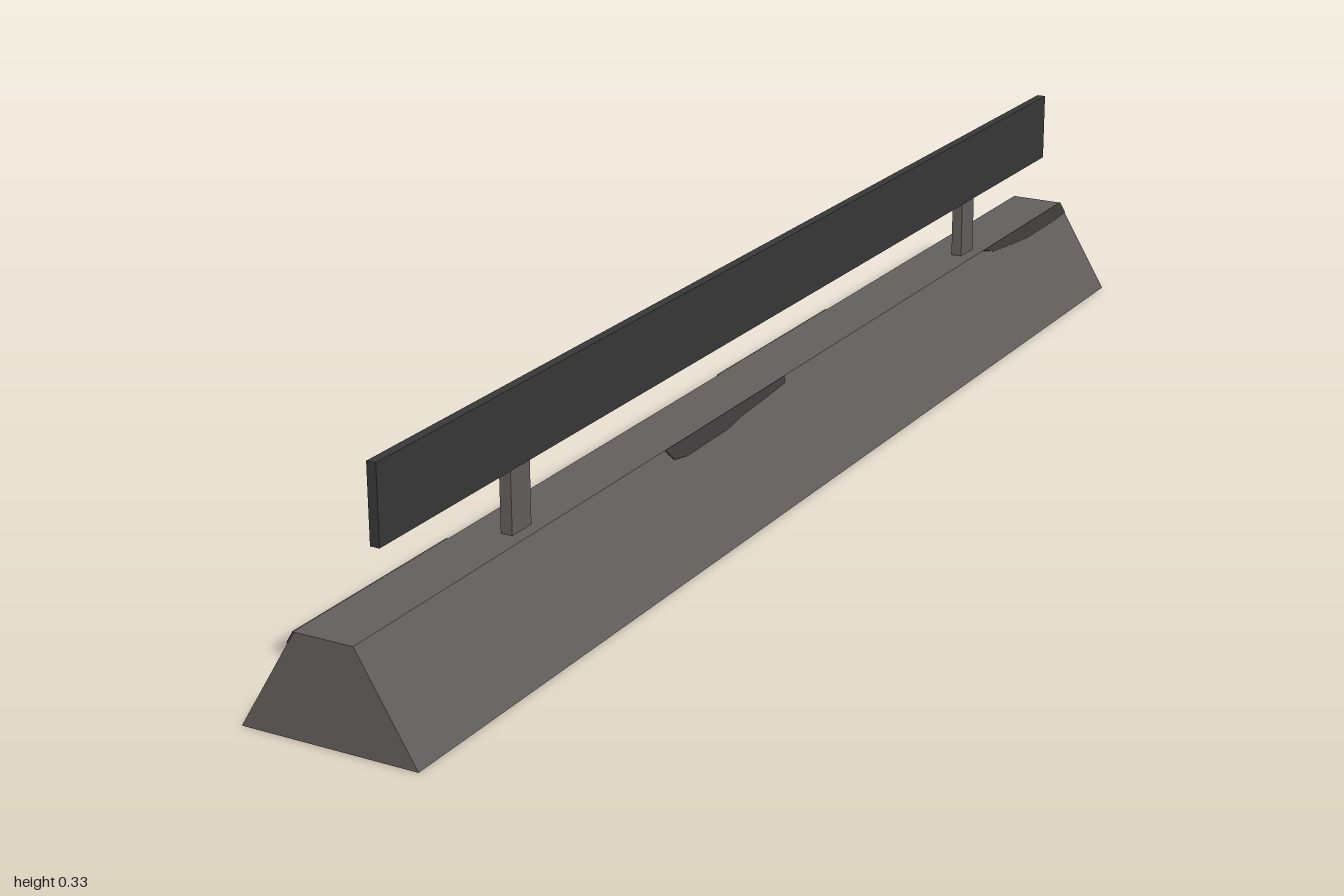
import * as THREE from 'three';

export function createModel() {
  const concrete = new THREE.MeshStandardMaterial({ color: 0x625e5c, side: THREE.DoubleSide });
  concrete.name = 'concrete grey';
  const stainMat = new THREE.MeshStandardMaterial({ color: 0x3b3938 });
  stainMat.name = 'dark stain';
  const railMat = new THREE.MeshStandardMaterial({ color: 0x373737 });
  railMat.name = 'rail charcoal';

  const model = new THREE.Group();
  model.name = 'roadBarrier';
  const body = new THREE.Group();
  body.name = 'barrier';
  body.rotation.y = 0.0175; // the barrier sits about one degree askew
  model.add(body);

  const add = (parent, name, geometry, material, x = 0, y = 0, z = 0) => {
    const mesh = new THREE.Mesh(geometry, material);
    mesh.name = name;
    mesh.position.set(x, y, z);
    parent.add(mesh);
    return mesh;
  };
  const polygon = (points) => new THREE.Shape(points.map(([x, y]) => new THREE.Vector2(x, y)));

  // Hollow base with an open underside
  const L = 0.998, H = 0.136, bottom = 0.123, top = 0.041;
  const run = bottom - top, slope = Math.hypot(run, H);
  const stains = [
    [[-0.31, slope], [-0.3, 0.142], [-0.27, 0.137], [-0.16, 0.138], [-0.12, 0.143],
      [-0.05, 0.146], [0.015, 0.15], [0.02, slope]],
    [[0.69, slope], [0.72, 0.149], [0.78, 0.143], [0.84, 0.138], [0.95, 0.138], [L, 0.14], [L, slope]],
  ];
  for (const turn of [0, Math.PI]) {
    const half = new THREE.Group();
    half.name = turn ? 'baseRightHalf' : 'baseLeftHalf';
    half.rotation.y = turn;
    body.add(half);

    // Sloped side, drawn flat and laid against the slope
    const side = new THREE.Group();
    side.name = 'slopedSide';
    const u = new THREE.Vector3(0, 0, -1);
    const v = new THREE.Vector3(-run, H, 0).normalize();
    side.quaternion.setFromRotationMatrix(
      new THREE.Matrix4().makeBasis(u, v, new THREE.Vector3().crossVectors(u, v)));
    side.position.x = bottom;
    half.add(side);
    add(side, 'sideWall', new THREE.ShapeGeometry(
      polygon([[-L, 0], [L, 0], [L, slope], [-L, slope]])), concrete);

    // Stains show on both faces of the wall
    for (const outline of stains) {
      add(side, 'stain', new THREE.ExtrudeGeometry(polygon(outline),
        { depth: 0.003, bevelEnabled: false }), stainMat, 0, 0, -0.0015);
    }

    // Trapezoid end wall
    add(half, 'endWall', new THREE.ShapeGeometry(
      polygon([[-bottom, 0], [bottom, 0], [top, H], [-top, H]])), concrete, 0, 0, L);
  }
  const lid = add(body, 'baseTop', new THREE.PlaneGeometry(top * 2, L * 2), concrete, 0, H, 0);
  lid.rotation.x = -Math.PI / 2;

  // Posts and the rail they carry
  for (const z of [0.624, -0.669]) {
    add(body, 'post', new THREE.BoxGeometry(0.0165, 0.16, 0.043), concrete, 0.0145, 0.215, z);
  }
  add(body, 'rail', new THREE.BoxGeometry(0.013, 0.103, 1.866), railMat, 0.0303, 0.2815, 0.002);

  return model;
}
